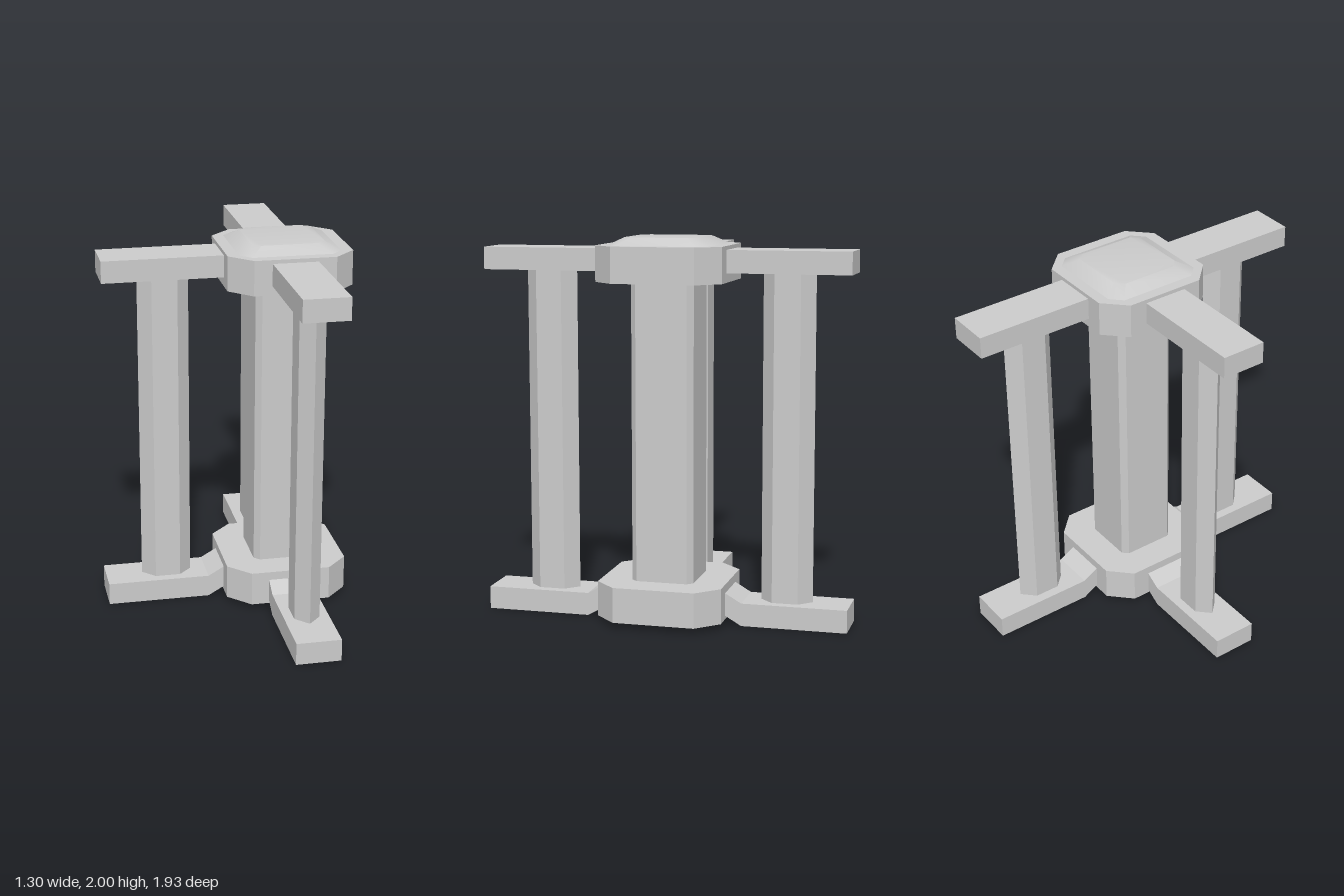
import * as THREE from 'three';
import { toCreasedNormals } from 'three/addons/utils/BufferGeometryUtils.js';

const material = new THREE.MeshStandardMaterial({ color: 0xcccccc });
const HUB_X = 0.317;

const shapeOf = (points) => new THREE.Shape(points.map(([x, y]) => new THREE.Vector2(x, y)));

// Square outline with cut corners
function cutSquare(half, cut) {
  const k = half - cut;
  return [[half, -k], [half, k], [k, half], [-k, half], [-half, k], [-half, -k], [-k, -half], [k, -half]];
}

// Upright prism over an outline, from y0 to y1
function prism(points, y0, y1) {
  const g = new THREE.ExtrudeGeometry(shapeOf(points), { depth: y1 - y0, bevelEnabled: false });
  g.rotateX(-Math.PI / 2);
  g.translate(0, y0, 0);
  return g;
}

// Beam from a side profile (distance, height), extruded across its width
function beam(profile, width) {
  const g = new THREE.ExtrudeGeometry(shapeOf(profile), { depth: width, bevelEnabled: false });
  g.translate(0, 0, -width / 2);
  return g;
}

function add(parent, name, geometry) {
  const mesh = new THREE.Mesh(geometry, material);
  mesh.name = name;
  parent.add(mesh);
  return mesh;
}

// Low cap whose sides slope in to a smaller flat top
function capGeometry(y0, y1, half, topHalf) {
  const g = prism(cutSquare(half, 0.06), y0, y1);
  const p = g.attributes.position;
  const s = topHalf / half;
  for (let i = 0; i < p.count; i++) {
    if (p.getY(i) > (y0 + y1) / 2) p.setXYZ(i, p.getX(i) * s, y1, p.getZ(i) * s);
  }
  return toCreasedNormals(g, 0.42);
}

export function createModel() {
  const model = new THREE.Group();
  model.name = 'pillarFrame';

  // Central column with its hubs and cap
  const core = new THREE.Group();
  core.name = 'core';
  core.position.x = HUB_X;
  model.add(core);
  add(core, 'column', prism(cutSquare(0.165, 0.03), 0.2, 1.79));
  add(core, 'lowerHub', prism(cutSquare(0.33, 0.115), 0.03, 0.215));
  add(core, 'upperHub', prism(cutSquare(0.33, 0.115), 1.775, 1.96));
  add(core, 'cap', capGeometry(1.96, 2, 0.27, 0.193));

  // Shared geometry of one side bay, pointing along +x
  const upperArm = beam([[0.3, 1.823], [0.967, 1.823], [0.967, 1.94], [0.3, 1.94]], 0.24);
  const lowerArm = beam([[0.32, 0.055], [0.415, 0], [0.967, 0], [0.967, 0.12], [0.415, 0.12], [0.32, 0.175]], 0.24);
  const post = prism([[0.136, 0], [0.068, 0.068], [-0.068, 0.068], [-0.136, 0], [-0.068, -0.068], [0.068, -0.068]], 0.11, 1.83);
  post.translate(0.633, 0, 0);

  // Three bays: front, right and back
  const bays = { frontBay: -Math.PI / 2, rightBay: Math.PI, backBay: Math.PI / 2 };
  for (const [name, angle] of Object.entries(bays)) {
    const bay = new THREE.Group();
    bay.name = name;
    bay.rotation.y = angle;
    add(bay, 'upperArm', upperArm);
    add(bay, 'lowerArm', lowerArm);
    add(bay, 'post', post);
    core.add(bay);
  }
  return model;
}
